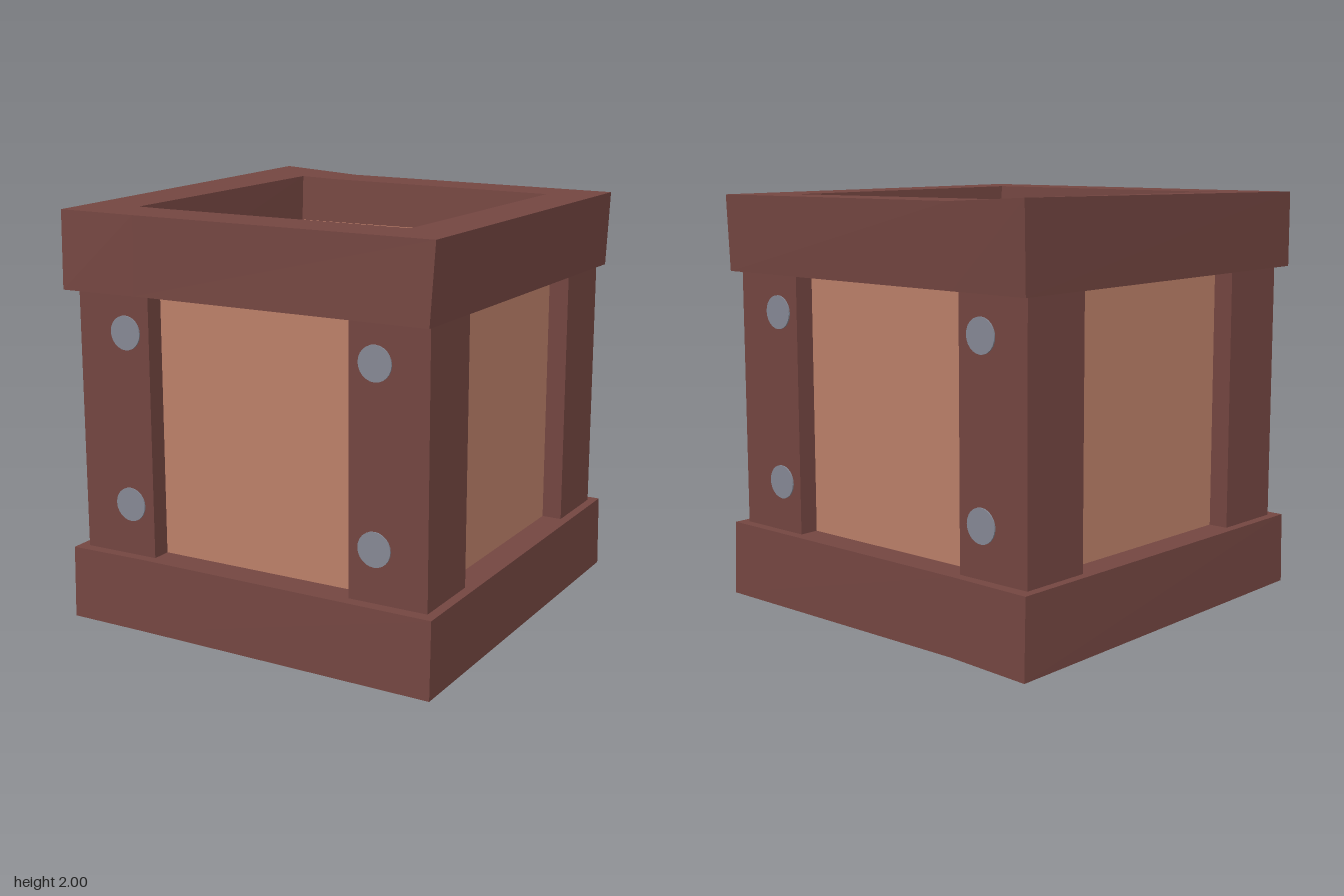
import * as THREE from 'three';

// Uneven square frame: each station is a four-point cross-section
// [x, z, y] in the order outer bottom, outer top, inner top, inner bottom.
function frameGeometry(stations) {
  const positions = [];
  const indices = [];
  const n = stations.length;
  for (const section of stations) {
    for (const [x, z, y] of section) positions.push(x, y, z);
  }
  for (let s = 0; s < n; s++) {
    const a = s * 4;
    const b = ((s + 1) % n) * 4;
    for (let k = 0; k < 4; k++) {
      const m = (k + 1) % 4;
      indices.push(a + k, b + k, b + m, a + k, b + m, a + m);
    }
  }
  const indexed = new THREE.BufferGeometry();
  indexed.setAttribute('position', new THREE.Float32BufferAttribute(positions, 3));
  indexed.setIndex(indices);
  const geometry = indexed.toNonIndexed();
  geometry.computeVertexNormals();
  return geometry;
}

export function createModel() {
  const group = new THREE.Group();
  const material = (name, color) => {
    const m = new THREE.MeshStandardMaterial({ color });
    m.name = name;
    return m;
  };
  const darkWood = material('darkWood', 0x744641);
  const lightWood = material('lightWood', 0xbc8069);
  const metal = material('metal', 0x868995);

  const add = (name, geometry, mat, x = 0, y = 0, z = 0) => {
    const mesh = new THREE.Mesh(geometry, mat);
    mesh.name = name;
    mesh.position.set(x, y, z);
    group.add(mesh);
    return mesh;
  };

  // Inner box whose sides show as recessed panels
  const boxBottom = 0.022;
  const boxTop = 1.75;
  add('innerBox', new THREE.BoxGeometry(1.61, boxTop - boxBottom, 1.64), lightWood,
    0, (boxTop + boxBottom) / 2, 0);

  // Corner posts, with two flat bolts on each front and back face
  const postGeometry = new THREE.BoxGeometry(0.385, 1.27, 0.365);
  const boltGeometry = new THREE.CylinderGeometry(0.08, 0.08, 0.008, 24).rotateX(Math.PI / 2);
  for (const sx of [-1, 1]) {
    for (const sz of [-1, 1]) {
      add('cornerPost', postGeometry, darkWood, sx * 0.71, 0.985, sz * 0.733);
      for (const y of [0.607, 1.42]) {
        add('bolt', boltGeometry, metal, sx * 0.645, y, sz * 0.918);
      }
    }
  }

  // Top frame, with a raised back left corner
  add('topFrame', frameGeometry([
    [[-0.935, 0.99, 1.605], [-0.95, 0.965, 1.968], [-0.705, 0.71, 1.968], [-0.69, 0.685, 1.605]],
    [[-0.55, 0.975, 1.605], [-0.55, 0.965, 1.966], [-0.55, 0.71, 1.966], [-0.55, 0.685, 1.605]],
    [[0.93, 0.985, 1.605], [0.945, 0.965, 1.962], [0.70, 0.71, 1.962], [0.69, 0.685, 1.605]],
    [[0.93, -0.965, 1.6], [0.945, -0.97, 1.962], [0.70, -0.73, 1.962], [0.69, -0.695, 1.605]],
    [[-0.52, -0.965, 1.6], [-0.52, -0.98, 1.974], [-0.52, -0.73, 1.974], [-0.52, -0.695, 1.605]],
    [[-0.935, -0.965, 1.6], [-0.95, -0.99, 2.0], [-0.70, -0.73, 1.98], [-0.69, -0.695, 1.605]],
  ]), darkWood);

  // Base frame, open underneath around the box floor
  add('baseFrame', frameGeometry([
    [[-0.95, 0.98, 0.018], [-0.95, 0.97, 0.362], [-0.7, 0.71, 0.362], [-0.69, 0.71, 0.012]],
    [[-0.55, 0.98, 0.016], [-0.55, 0.965, 0.364], [-0.55, 0.71, 0.364], [-0.55, 0.71, 0.012]],
    [[0.95, 0.985, 0.002], [0.95, 0.975, 0.362], [0.7, 0.71, 0.362], [0.69, 0.71, 0.012]],
    [[0.945, -0.98, 0.016], [0.945, -0.965, 0.37], [0.7, -0.71, 0.37], [0.69, -0.71, 0.012]],
    [[-0.52, -0.98, 0.014], [-0.52, -0.965, 0.37], [-0.52, -0.71, 0.37], [-0.52, -0.71, 0.012]],
    [[-0.95, -0.988, 0], [-0.945, -0.975, 0.37], [-0.7, -0.71, 0.37], [-0.69, -0.71, 0.012]],
  ]), darkWood);

  return group;
}
